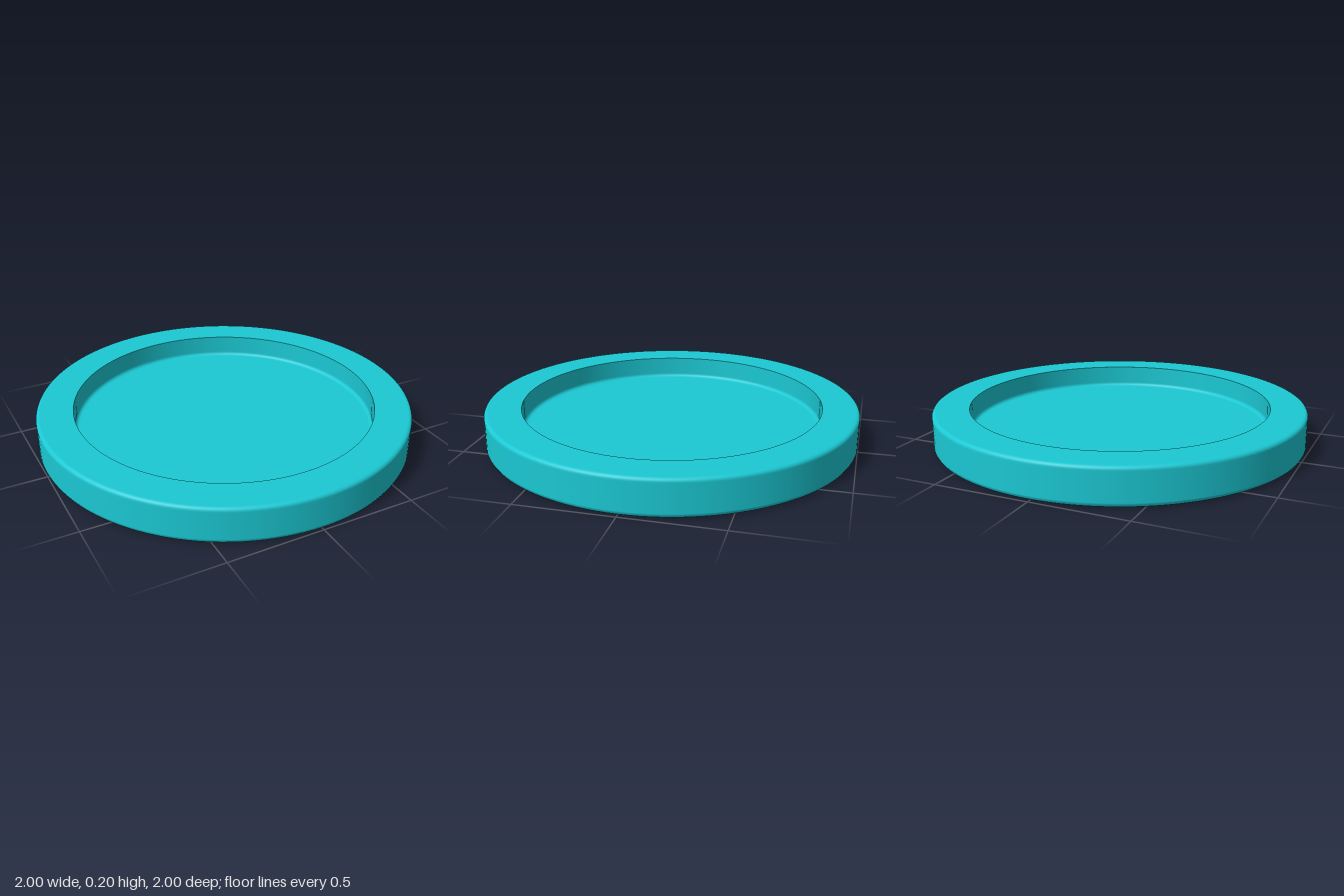
import * as THREE from 'three';

const SEGMENTS = 128;
const HEIGHT = 0.2, INNER = 0.805, FLOOR = 0.08, FILLET = 0.02;

// Quarter-round profile points from angle a0 to a1 around (cx, cy)
function arc(cx, cy, r, a0, a1, steps = 8) {
  return Array.from({ length: steps + 1 }, (_, i) => {
    const a = a0 + (a1 - a0) * i / steps;
    return [cx + r * Math.cos(a), cy + r * Math.sin(a)];
  });
}

export function createModel() {
  const group = new THREE.Group();
  group.name = 'roundTray';
  const material = new THREE.MeshStandardMaterial({ color: 0x1bc8d3 });

  const addLathe = (name, profile) => {
    const points = profile.map(([x, y]) => new THREE.Vector2(x, y));
    const mesh = new THREE.Mesh(new THREE.LatheGeometry(points, SEGMENTS), material);
    mesh.name = name;
    group.add(mesh);
  };

  // Underside, outer wall and flat rim; extra points keep the flats evenly shaded
  addLathe('outerShell', [
    [0, 0], [0.94, 0], [0.95, 0], [0.98, 0.004], [0.994, 0.012], [1, 0.025], [1, 0.03],
    [1, HEIGHT - FILLET - 0.005],
    ...arc(1 - FILLET, HEIGHT - FILLET, FILLET, 0, Math.PI / 2),
    [0.975, HEIGHT], [INNER, HEIGHT],
  ]);

  // Recess wall with a sharp lip, rounded into the flat floor
  addLathe('recess', [
    [INNER, HEIGHT], [INNER, FLOOR + FILLET + 0.005],
    ...arc(INNER - FILLET, FLOOR + FILLET, FILLET, 0, -Math.PI / 2),
    [INNER - FILLET - 0.005, FLOOR], [0, FLOOR],
  ]);

  return group;
}
